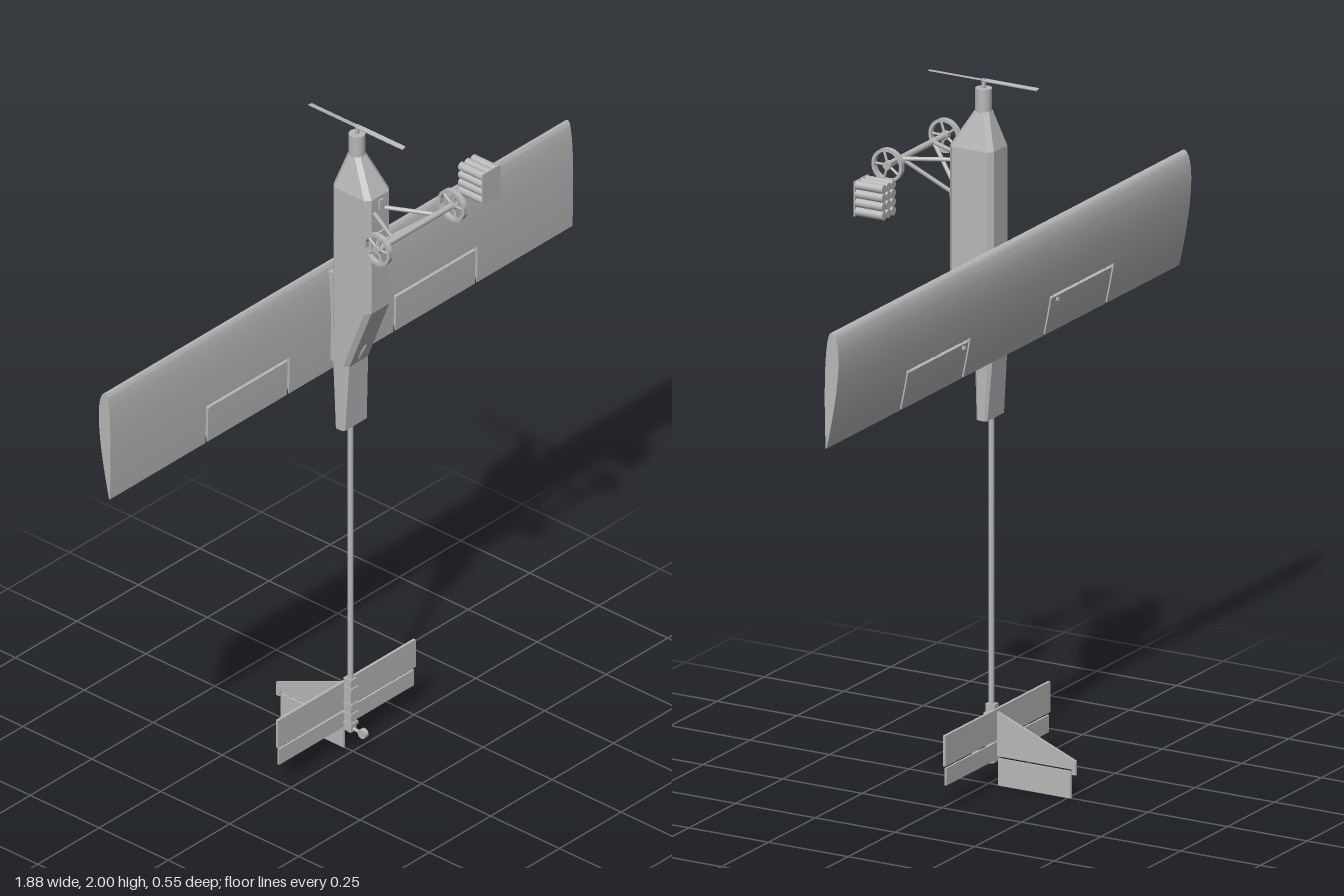
import * as THREE from 'three';
import { toCreasedNormals } from 'three/addons/utils/BufferGeometryUtils.js';

export function createModel() {
  const root = new THREE.Group();
  root.name = 'modelAeroplane';
  const grey = new THREE.MeshStandardMaterial({ color: 0xb8b8b8 });
  grey.name = 'plain grey';

  const add = (name, geo, x = 0, y = 0, z = 0, parent = root) => {
    const m = new THREE.Mesh(geo, grey);
    m.name = name;
    m.position.set(x, y, z);
    parent.add(m);
    return m;
  };
  // Box given by its limits
  const box = (name, x0, x1, y0, y1, z0, z1, parent) =>
    add(name, new THREE.BoxGeometry(x1 - x0, y1 - y0, z1 - z0), (x0 + x1) / 2, (y0 + y1) / 2, (z0 + z1) / 2, parent);
  // Round bar between two points
  const rod = (name, a, b, r, parent, sides = 14) => {
    const p = new THREE.Vector3(...a), q = new THREE.Vector3(...b);
    const m = add(name, new THREE.CylinderGeometry(r, r, p.distanceTo(q), sides), 0, 0, 0, parent);
    m.position.copy(p).add(q).multiplyScalar(0.5);
    m.quaternion.setFromUnitVectors(new THREE.Vector3(0, 1, 0), q.sub(p).normalize());
    return m;
  };
  // Side outline of [z, y] points, extruded along x
  const slab = (name, pts, x0, x1, crease = 0.4) => {
    const shape = new THREE.Shape(pts.map(([z, y]) => new THREE.Vector2(-z, y)));
    const geo = new THREE.ExtrudeGeometry(shape, { depth: x1 - x0, bevelEnabled: false });
    geo.rotateY(Math.PI / 2);
    return add(name, toCreasedNormals(geo, crease), x0);
  };

  // Fuselage: chamfered sections [y, halfWidth, zBack, zFront, chamfer], bottom to top
  const sections = [
    [1.045, 0.05, -0.022, 0.012, 0.006],
    [1.25, 0.05, -0.037, 0.022, 0.012],
    [1.45, 0.05, -0.037, 0.1, 0.014],
    [1.81, 0.05, -0.037, 0.1, 0.014],
    [1.912, 0.022, -0.007, 0.038, 0.012],
  ];
  const rings = sections.map(([y, w, b, f, c]) => [
    [-w + c, f], [w - c, f], [w, f - c], [w, b + c], [w - c, b], [-w + c, b], [-w, b + c], [-w, f - c],
  ].map(([x, z]) => [x, y, z]));
  const verts = [];
  const tri = (a, b, c) => verts.push(...a, ...b, ...c);
  const last = rings.length - 1;
  for (let i = 0; i < 8; i++) {
    const n = (i + 1) % 8;
    for (let j = 0; j < last; j++) {
      tri(rings[j][i], rings[j][n], rings[j + 1][n]);
      tri(rings[j][i], rings[j + 1][n], rings[j + 1][i]);
    }
    if (i > 0 && i < 7) {
      tri(rings[last][0], rings[last][i], rings[last][n]);
      tri(rings[0][0], rings[0][n], rings[0][i]);
    }
  }
  const body = new THREE.BufferGeometry();
  body.setAttribute('position', new THREE.Float32BufferAttribute(verts, 3));
  body.computeVertexNormals();
  add('fuselage', body);

  // Motor, shaft and propeller
  add('motor', new THREE.CylinderGeometry(0.023, 0.023, 0.066, 28), 0, 1.942, 0.016);
  rod('propellerShaft', [0, 1.97, 0.016], [0, 2, 0.016], 0.006);
  for (const s of [-1, 1]) {
    const blade = add('propellerBlade', new THREE.BoxGeometry(0.014, 0.003, 0.17), 0, 1.997, 0.016 + s * 0.085);
    blade.rotation.z = s * 0.2;
  }

  // Belly details
  const outlet = add('airOutlet', new THREE.SphereGeometry(1, 16, 10), 0, 1.285, 0.037);
  outlet.scale.set(0.012, 0.032, 0.004);
  outlet.rotation.x = 0.37;
  box('gearPlate', -0.014, 0.014, 1.63, 1.7, 0.098, 0.106);
  const bolt = add('gearBolt', new THREE.CylinderGeometry(0.019, 0.019, 0.014, 20), 0, 1.66, 0.106);
  bolt.rotation.x = Math.PI / 2;
  box('noseCatch', -0.008, 0.008, 1.77, 1.8, 0.098, 0.106);

  // Wing: flat-bellied aerofoil cut between two chord positions
  const LE = 1.55, CHORD = 0.33;
  const aerofoil = (t0, t1) => {
    const back = [], belly = [];
    for (let i = 0; i <= 24; i++) {
      const u = i / 24, t = t0 + (t1 - t0) * (t0 ? u : u * u);
      const f = 0.2969 * Math.sqrt(t) - 0.126 * t - 0.3516 * t ** 2 + 0.2843 * t ** 3 - 0.1015 * t ** 4;
      const zc = -0.058 + 0.015 * t, y = LE - CHORD * t;
      back.push([zc - 0.27 * f - 0.001, y]);
      belly.push([zc + 0.12 * f + 0.001, y]);
    }
    return [...belly, ...back.reverse()];
  };
  const hinge = (LE - 1.337) / CHORD;
  slab('wingCentre', aerofoil(0, 1), -0.212, 0.212);
  for (const s of [-1, 1]) {
    const span = (name, a, b, t0, t1) =>
      slab(name, aerofoil(t0, t1), Math.min(s * a, s * b), Math.max(s * a, s * b));
    span('wingTip', 0.552, 0.94, 0, 1);
    span('wingAtAileron', 0.212, 0.552, 0, hinge);
    span('aileron', 0.221, 0.543, hinge + 0.027, 1);
    for (const x of [0.24, 0.38, 0.52])
      box('aileronHinge', s * x - 0.005, s * x + 0.005, 1.322, 1.342, -0.058, -0.054);
    box('aileronHorn', s * 0.25 - 0.003, s * 0.25 + 0.003, 1.315, 1.323, -0.074, -0.05);
  }
  box('wingSaddle', -0.045, 0.045, 1.25, 1.53, -0.05, -0.03);

  // Tail boom and its clamp
  rod('tailBoom', [0, 0.06, -0.008], [0, 1.08, -0.008], 0.008, root, 20);
  box('tailClamp', -0.011, 0.011, 0.065, 0.23, -0.024, 0.004);
  for (const y of [0.09, 0.12, 0.15, 0.2]) box('clampBand', -0.014, 0.014, y - 0.005, y + 0.005, -0.022, 0.008);

  // Tailplane, elevator, fin and rudder
  box('tailplane', -0.28, 0.28, 0.13, 0.217, -0.029, -0.021);
  box('elevator', -0.274, 0.274, 0.074, 0.123, -0.028, -0.022);
  slab('fin', [[-0.022, 0.083], [-0.262, 0.083], [-0.262, 0.068], [-0.275, 0.068], [-0.275, 0.108], [-0.022, 0.212]], -0.004, 0.004);
  box('rudder', -0.003, 0.003, 0, 0.077, -0.259, -0.03);

  // Tail wheel
  rod('tailWheelLeg', [0, 0.072, -0.02], [0, 0.072, 0.042], 0.005);
  rod('tailWheel', [-0.007, 0.072, 0.038], [0.007, 0.072, 0.038], 0.014, root, 20);

  // Landing gear: axle, struts and spoked wheels
  const gear = new THREE.Group();
  gear.name = 'landingGear';
  root.add(gear);
  const AY = 1.763, AZ = 0.227;
  rod('axle', [-0.155, AY, AZ], [0.155, AY, AZ], 0.009, gear);
  for (const s of [-1, 1]) {
    rod('lowerStrut', [s * 0.008, 1.66, 0.1], [s * 0.085, AY, AZ - 0.004], 0.006, gear);
    rod('upperStrut', [s * 0.02, AY, 0.096], [s * 0.085, AY, AZ - 0.004], 0.006, gear);
    const wheel = new THREE.Group();
    wheel.name = 'wheel';
    wheel.position.set(s * 0.152, AY, AZ);
    gear.add(wheel);
    const rim = new THREE.Shape().absarc(0, 0, 0.048, 0, Math.PI * 2);
    rim.holes.push(new THREE.Path().absarc(0, 0, 0.039, 0, Math.PI * 2, true));
    const rimGeo = new THREE.ExtrudeGeometry(rim, { depth: 0.015, bevelEnabled: false, curveSegments: 32 });
    rimGeo.translate(0, 0, -0.0075).rotateY(Math.PI / 2);
    add('rim', toCreasedNormals(rimGeo, 0.5), 0, 0, 0, wheel);
    rod('hub', [-0.009, 0, 0], [0.009, 0, 0], 0.012, wheel, 20);
    for (let i = 0; i < 5; i++) {
      const a = (i / 5) * Math.PI * 2;
      rod('spoke', [0, 0, 0], [0, Math.sin(a) * 0.041, Math.cos(a) * 0.041], 0.004, wheel, 8);
    }
  }

  // Loose battery pack: three by four round cells with end strips
  const pack = new THREE.Group();
  pack.name = 'batteryPack';
  root.add(pack);
  for (let c = 0; c < 3; c++)
    for (let r = 0; r < 4; r++) {
      const x = 0.31 + c * 0.025, y = 1.694 + r * 0.025;
      rod('cell', [x, y, 0.116], [x, y, 0.201], 0.0125, pack, 18);
    }
  box('cellStrip', 0.298, 0.372, 1.682, 1.781, 0.201, 0.205, pack);

  return root;
}
